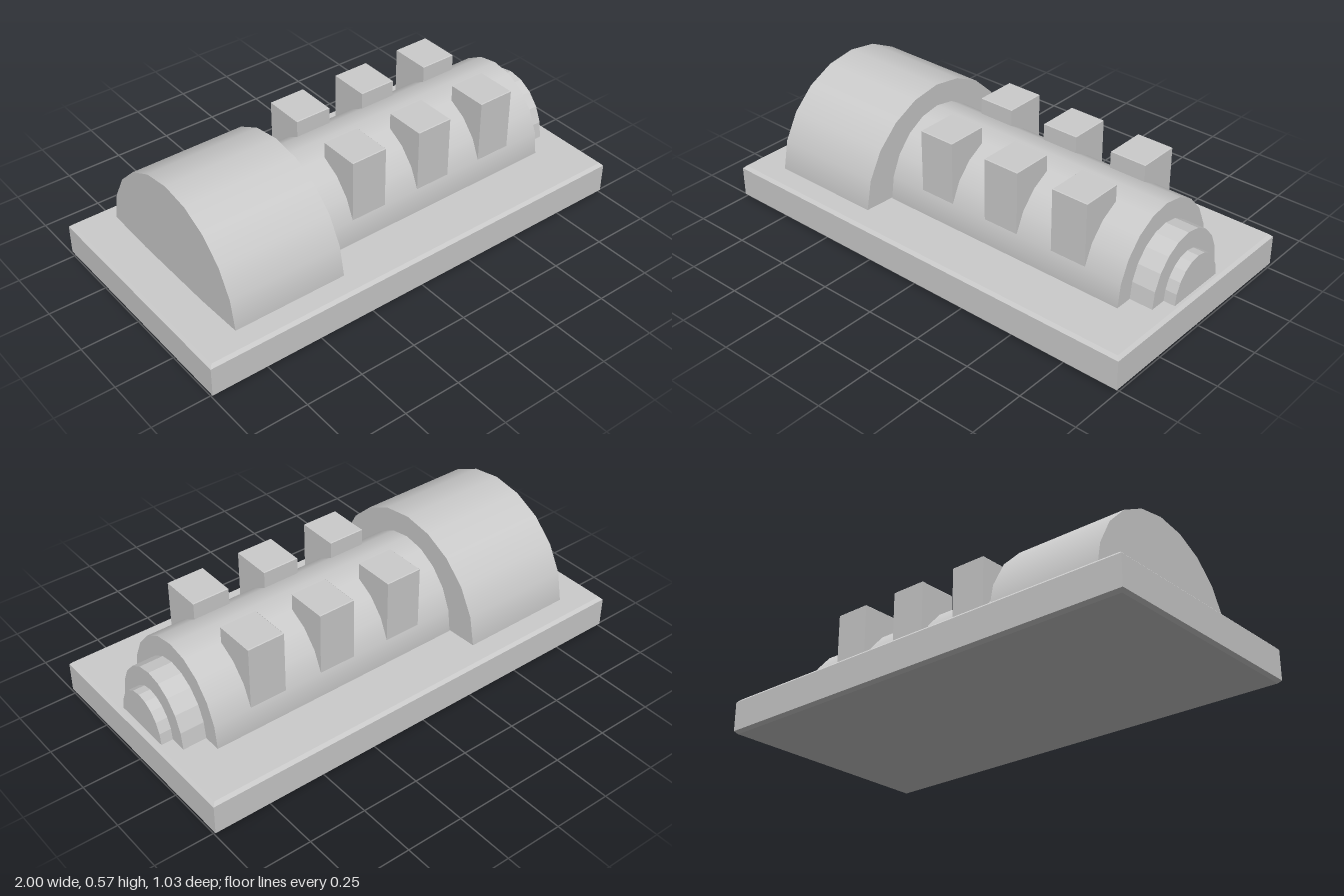
import * as THREE from 'three';

const grey = (flatShading = false) =>
  new THREE.MeshStandardMaterial({ color: 0xcccccc, flatShading, side: THREE.DoubleSide });

// Upright block with chamfered top and bottom edges, standing on y0
function chamferedBlock(name, w, d, y0, y1, bevel) {
  const s = new THREE.Shape();
  s.moveTo(-w / 2, -d / 2);
  s.lineTo(w / 2, -d / 2);
  s.lineTo(w / 2, d / 2);
  s.lineTo(-w / 2, d / 2);
  s.closePath();
  const geo = new THREE.ExtrudeGeometry(s, {
    depth: y1 - y0 - 2 * bevel, bevelEnabled: true, bevelSegments: 1,
    bevelSize: bevel, bevelThickness: bevel, bevelOffset: -bevel,
  });
  geo.rotateX(-Math.PI / 2).translate(0, y0 + bevel, 0);
  const mesh = new THREE.Mesh(geo, grey());
  mesh.name = name;
  return mesh;
}

// Ten-sided arch lying along x; gap lifts both feet off the centre line
function arch(name, x0, x1, y0, height, halfWidth, gap = 0, flat = false) {
  const geo = new THREE.CylinderGeometry(1, 1, x1 - x0, 10, 1, false, gap, Math.PI - 2 * gap);
  geo.rotateZ(Math.PI / 2).scale(1, height, halfWidth);
  const mesh = new THREE.Mesh(geo, grey(flat));
  mesh.position.set((x0 + x1) / 2, y0, 0);
  mesh.name = name;
  return mesh;
}

export function createModel() {
  const model = new THREE.Group();
  model.name = 'archedBody';

  // Rectangular plinth
  model.add(chamferedBlock('base', 2, 1.03, 0, 0.155, 0.013));

  // Stepped row of arches, largest at the right end
  model.add(
    arch('largeArch', -0.83, -0.33, 0.145, 0.426, 0.425, 0.05),
    arch('mainArch', -0.33, 0.823, 0.155, 0.32, 0.283),
    arch('stepArch', 0.823, 0.925, 0.155, 0.235, 0.207, 0, true),
    arch('endArch', 0.925, 0.975, 0.155, 0.155, 0.135, 0, true),
  );

  // Three pairs of blocks rising from the main arch
  for (const x of [-0.084, 0.246, 0.576]) {
    for (const side of [1, -1]) {
      const block = chamferedBlock('block', 0.162, 0.178, 0.155, 0.531, 0.003);
      block.position.set(x, 0, side * 0.179);
      model.add(block);
    }
  }
  return model;
}
